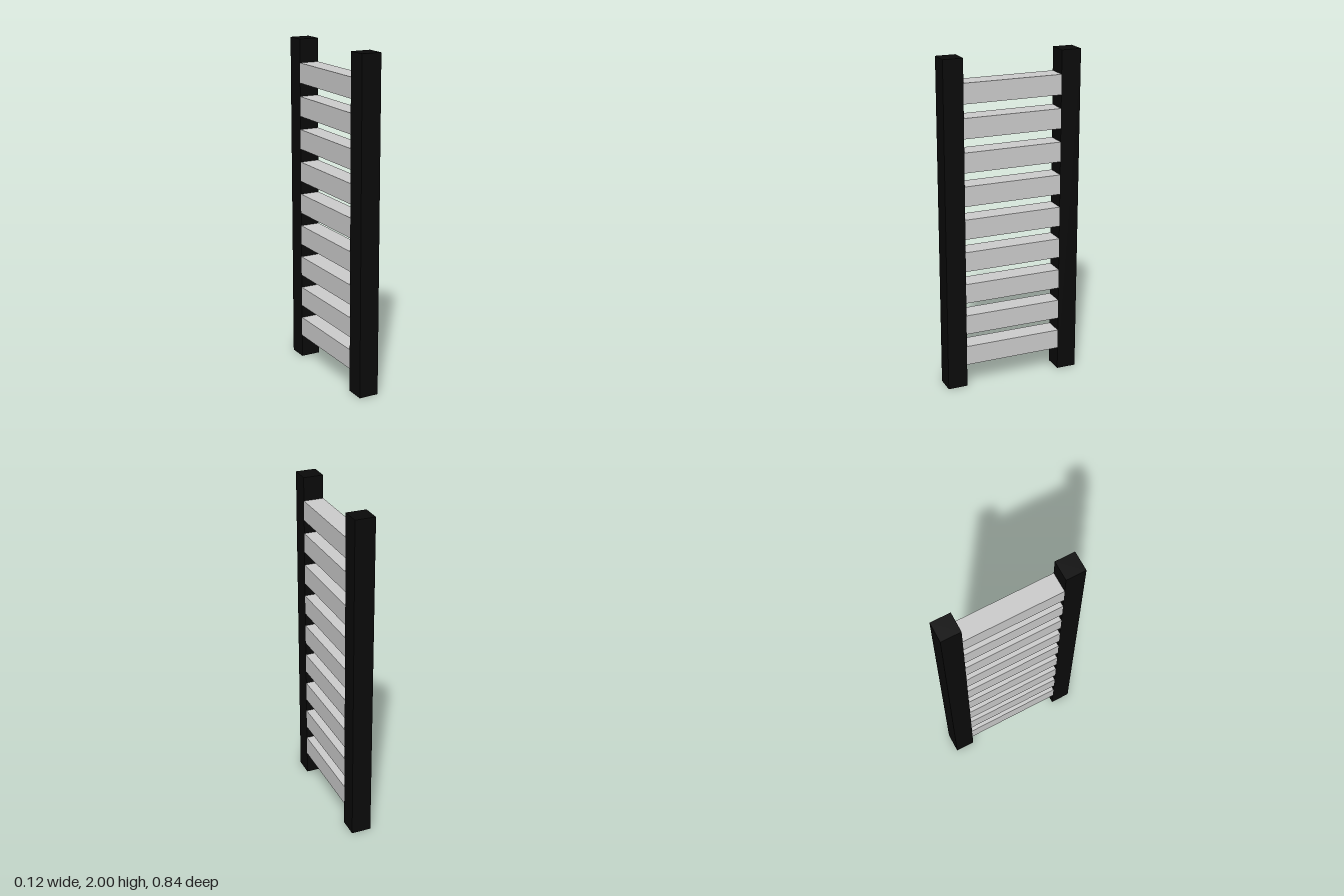
import * as THREE from 'three';

const THICK = 0.12;       // square section shared by rails and rungs
const HEIGHT = 2;
const RAIL_Z = 0.36;
const RUNG_COUNT = 9;
const RUNG_STEP = 0.2;

export function createModel() {
  const ladder = new THREE.Group();
  ladder.name = 'ladder';

  const railMaterial = new THREE.MeshStandardMaterial({ color: 0x0a0a0a });
  const rungMaterial = new THREE.MeshStandardMaterial({ color: 0xcccccc });

  // Upright rails, front and back
  const railGeometry = new THREE.BoxGeometry(THICK, HEIGHT, THICK);
  for (const side of [1, -1]) {
    const rail = new THREE.Mesh(railGeometry, railMaterial);
    rail.name = side > 0 ? 'frontRail' : 'backRail';
    rail.position.set(0, HEIGHT / 2, side * RAIL_Z);
    ladder.add(rail);
  }

  // Evenly spaced rungs fitted between the rails
  const rungGeometry = new THREE.BoxGeometry(THICK, THICK, 2 * RAIL_Z - THICK);
  for (let i = 1; i <= RUNG_COUNT; i++) {
    const rung = new THREE.Mesh(rungGeometry, rungMaterial);
    rung.name = `rung${i}`;
    rung.position.y = i * RUNG_STEP;
    ladder.add(rung);
  }

  return ladder;
}
